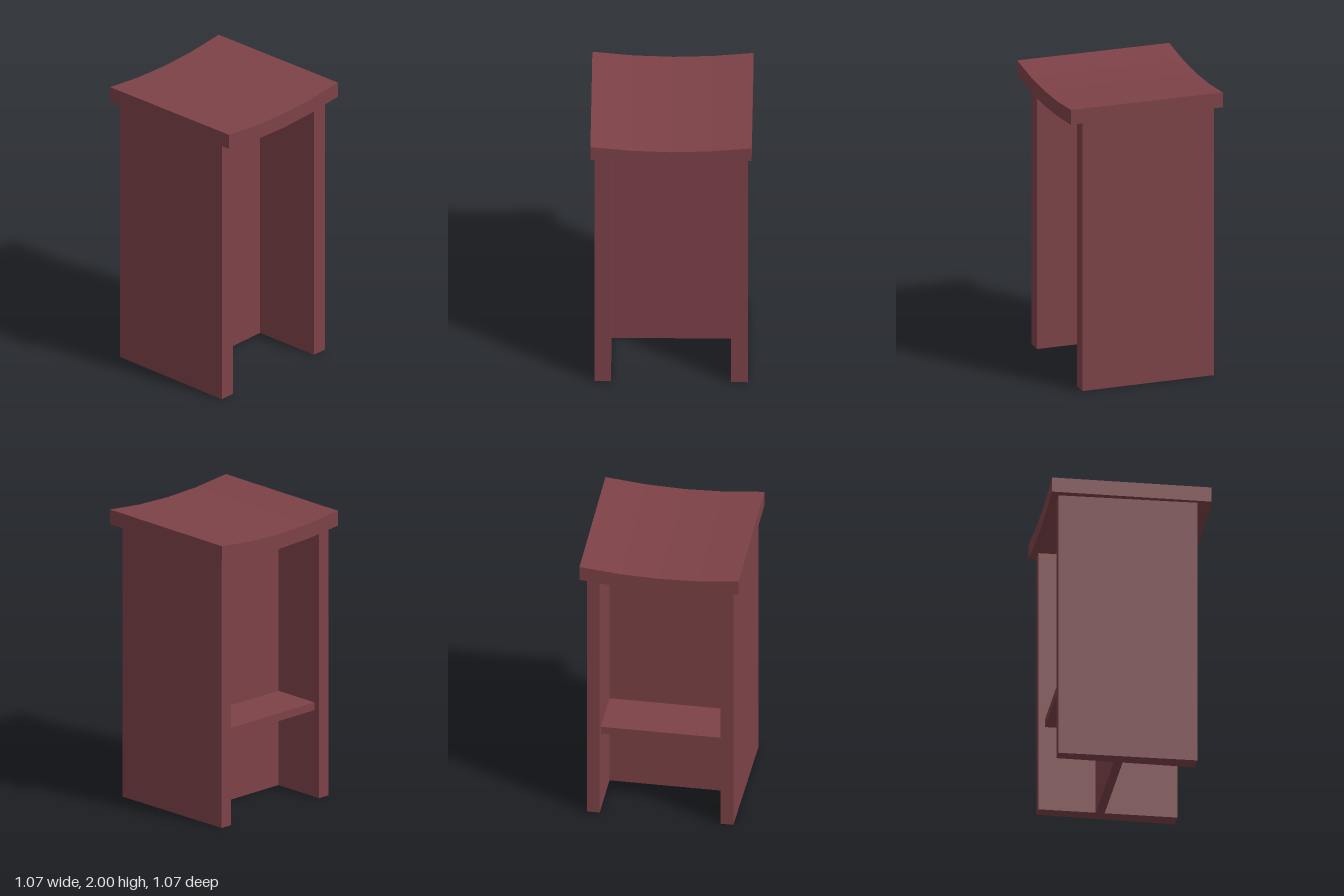
import * as THREE from 'three';

export function createModel() {
  const group = new THREE.Group();
  group.name = 'stool';
  const wood = new THREE.MeshStandardMaterial({ color: 0x7d4247 });
  wood.name = 'reddish brown wood';

  const add = (name, geometry, x = 0, y = 0, z = 0) => {
    const mesh = new THREE.Mesh(geometry, wood);
    mesh.name = name;
    mesh.position.set(x, y, z);
    group.add(mesh);
  };
  const extrude = (points, depth) => new THREE.ExtrudeGeometry(
    new THREE.Shape(points.map(([x, y]) => new THREE.Vector2(x, y))),
    { depth, bevelEnabled: false });

  // Dished seat: a gently sagging slab of constant thickness
  const sag = [[-0.537, 2], [-0.26, 1.972], [0, 1.963], [0.26, 1.972], [0.537, 2]];
  const thickness = 0.104;
  const underside = sag.map(([x, y]) => [x, y - thickness]);
  add('seat', extrude([...underside, ...sag.reverse()], 1.074), 0, 0, -0.537);

  // Side panels, slightly thinner towards the back (plan outline, extruded upwards)
  for (const [name, s] of [['leftSidePanel', 1], ['rightSidePanel', -1]]) {
    const plan = [[0.4, -0.446], [0.511, -0.446], [0.494, 0.489], [0.408, 0.489]];
    const panel = extrude(plan.map(([x, y]) => [s * x, y]), 1.894).rotateX(-Math.PI / 2);
    add(name, panel, 0, 0, 0);
  }

  // Upright panel joining the sides
  add('centrePanel', new THREE.BoxGeometry(0.83, 1.885, 0.06), 0, 0.9425, -0.073);

  // Footrest shelf behind the upright panel
  add('footrest', new THREE.BoxGeometry(0.83, 0.055, 0.35), 0, 0.635, -0.27);

  return group;
}
